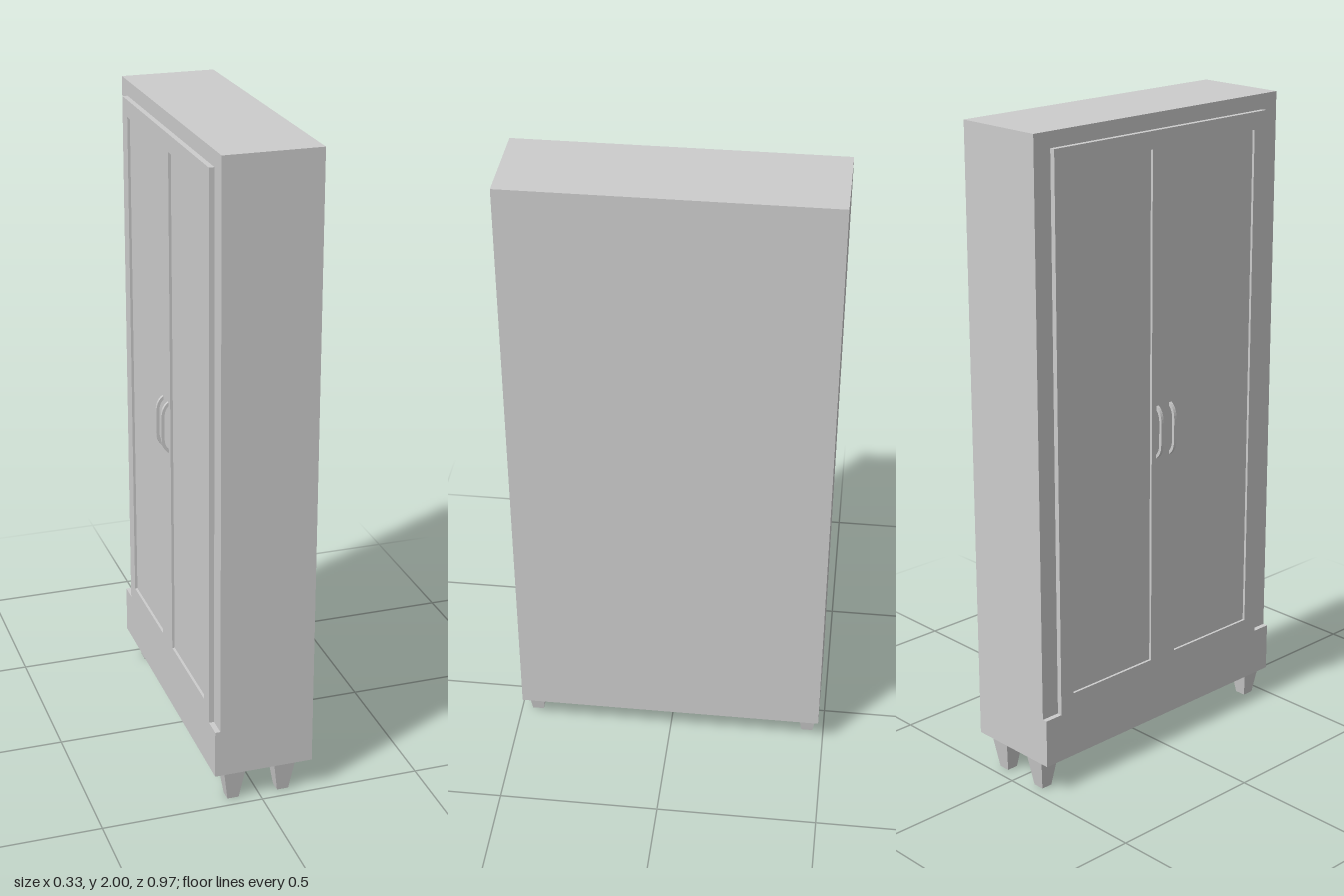
import * as THREE from 'three';

const material = new THREE.MeshStandardMaterial({ color: 0xcccccc, flatShading: true });

function add(group, name, geometry) {
  const mesh = new THREE.Mesh(geometry, material);
  mesh.name = name;
  group.add(mesh);
  return mesh;
}

// Box given by its lower and upper corners
function box(x0, x1, y0, y1, z0, z1) {
  return new THREE.BoxGeometry(x1 - x0, y1 - y0, z1 - z0)
    .translate((x0 + x1) / 2, (y0 + y1) / 2, (z0 + z1) / 2);
}

function rect(path, x0, x1, y0, y1) {
  path.moveTo(x0, y0).lineTo(x1, y0).lineTo(x1, y1).lineTo(x0, y1).closePath();
  return path;
}

export function createModel() {
  const group = new THREE.Group();
  group.name = 'cabinet';

  const halfWidth = 0.484, back = 0.163, face = -0.129, doorFace = -0.145;
  const bottom = 0.098, plinthTop = 0.25;

  // Carcass and projecting plinth
  add(group, 'carcass', box(face, back, bottom, 2, -halfWidth, halfWidth));
  add(group, 'plinth', box(doorFace, face, bottom, plinthTop, -halfWidth, halfWidth));

  for (const side of [-1, 1]) {
    // Door frame with a rectangular opening, drawn in (z, y) and turned to face -x
    const frame = rect(new THREE.Shape(), 0, 0.424, plinthTop, 1.953);
    frame.holes.push(rect(new THREE.Path(), 0.05, 0.374, 0.305, 1.9));
    const frameGeometry = new THREE.ExtrudeGeometry(frame, { depth: face - doorFace, bevelEnabled: false })
      .rotateY(-Math.PI / 2);
    const door = add(group, 'doorFrame', frameGeometry);
    door.position.set(face, 0, side < 0 ? -0.424 : 0);

    // Recessed door panel
    add(group, 'doorPanel', box(doorFace + 0.008, face, 0.3, 1.905, side * 0.212 - 0.167, side * 0.212 + 0.167));

    // Bowed handle: flat bar following a rounded C, extruded along z
    const bow = new THREE.Shape();
    bow.moveTo(doorFace, 0.965);
    bow.quadraticCurveTo(-0.167, 0.98, -0.167, 1.015);
    bow.lineTo(-0.167, 1.08);
    bow.quadraticCurveTo(-0.167, 1.115, doorFace, 1.13);
    bow.lineTo(doorFace, 1.118);
    bow.quadraticCurveTo(-0.158, 1.105, -0.158, 1.08);
    bow.lineTo(-0.158, 1.015);
    bow.quadraticCurveTo(-0.158, 0.99, doorFace, 0.977);
    const handle = add(group, 'handle',
      new THREE.ExtrudeGeometry(bow, { depth: 0.01, bevelEnabled: false, curveSegments: 6 }));
    handle.position.z = side * 0.027 - 0.005;

    // Tapered square legs
    for (const x of [-0.082, 0.077]) {
      const leg = add(group, 'leg',
        new THREE.CylinderGeometry(0.033 * Math.SQRT2, 0.018 * Math.SQRT2, bottom, 4).rotateY(Math.PI / 4));
      leg.position.set(x, bottom / 2, side * 0.447);
    }
  }
  return group;
}
